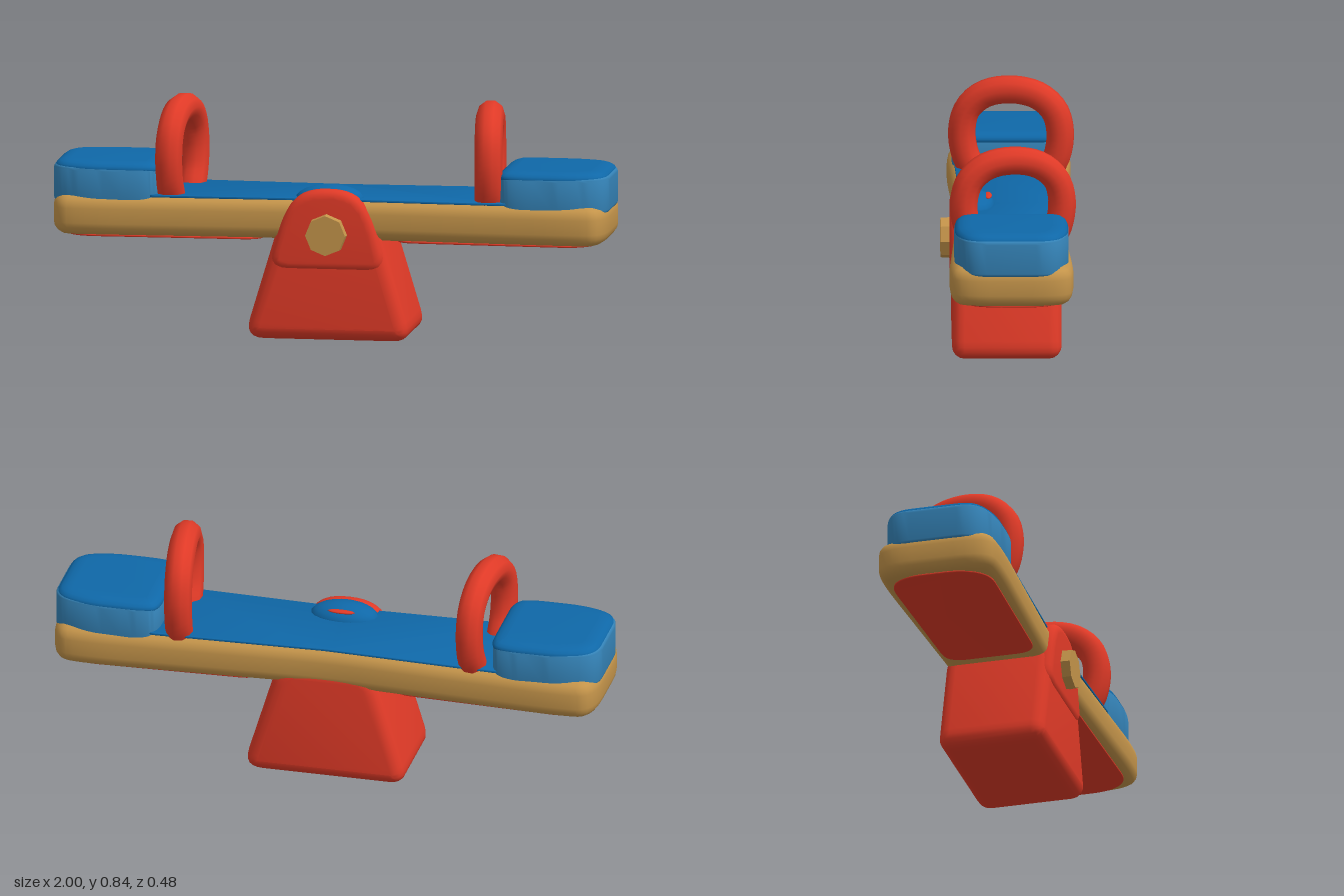
import * as THREE from 'three';
import { toCreasedNormals } from 'three/addons/utils/BufferGeometryUtils.js';

const material = (name, color) => {
  const m = new THREE.MeshStandardMaterial({ color });
  m.name = name;
  return m;
};

// Closed polygon with rounded corners
function roundedShape(points, radius) {
  const p = points.map(([x, y]) => new THREE.Vector2(x, y));
  const shape = new THREE.Shape();
  p.forEach((c, i) => {
    const toward = (q) => {
      const d = q.clone().sub(c);
      return c.clone().addScaledVector(d, Math.min(radius / d.length(), 0.48));
    };
    const a = toward(p[(i + p.length - 1) % p.length]);
    const b = toward(p[(i + 1) % p.length]);
    if (i === 0) shape.moveTo(a.x, a.y);
    else shape.lineTo(a.x, a.y);
    shape.quadraticCurveTo(c.x, c.y, b.x, b.y);
  });
  shape.closePath();
  return shape;
}

// Extrusion from z = lo to z = hi with softened edges inside the outline
function softExtrude(points, radius, lo, hi, bevel, thickness = bevel) {
  const geo = new THREE.ExtrudeGeometry(roundedShape(points, radius), {
    depth: hi - lo - 2 * thickness,
    curveSegments: 6,
    bevelEnabled: bevel > 0,
    bevelSize: bevel,
    bevelOffset: -bevel,
    bevelThickness: thickness,
    bevelSegments: 4,
  });
  geo.translate(0, 0, lo + thickness);
  return toCreasedNormals(geo, 0.7);
}

// Horizontal slab: outline in x and z, spanning heights y0 to y1
function slab(points, radius, y0, y1, bevel, thickness) {
  return softExtrude(points, radius, -y1, -y0, bevel, thickness).rotateX(Math.PI / 2);
}

export function createModel() {
  const red = material('red', 0xe03a27);
  const wood = material('wood', 0xc4944a);
  const blue = material('deep blue', 0x0f68a8);
  const lightBlue = material('light blue', 0x3482b6);

  const model = new THREE.Group();
  model.name = 'seesaw';
  const add = (name, geometry, mat, parent = model) => {
    const mesh = new THREE.Mesh(geometry, mat);
    mesh.name = name;
    parent.add(mesh);
    return mesh;
  };

  // Wedge base, with a taller rounded tongue at the front
  add('base', softExtrude(
    [[-0.305, 0], [0.305, 0], [0.175, 0.43], [-0.175, 0.43]], 0.075, -0.19, 0.2, 0.045), red);
  add('baseTongue', softExtrude(
    [[-0.22, 0.25], [0.22, 0.25], [0.155, 0.47], [0.08, 0.545], [-0.08, 0.545], [-0.155, 0.47]],
    0.08, 0.13, 0.207, 0.03), red);

  // Pivot bolt
  const bolt = new THREE.CylinderGeometry(0.072, 0.077, 0.07, 8).rotateX(Math.PI / 2);
  const boltMesh = add('pivotBolt', toCreasedNormals(bolt, 0.4), wood);
  boltMesh.position.set(0, 0.386, 0.205);

  // Plank, slightly waisted in the middle
  add('plank', slab([
    [-1, 0.2], [-0.87, 0.215], [0, 0.18], [0.87, 0.215], [1, 0.2],
    [1, -0.215], [0.87, -0.232], [0, -0.187], [-0.87, -0.232], [-1, -0.215],
  ], 0.13, 0.36, 0.503, 0.045), wood);
  add('plankTop', slab([
    [-0.65, 0.187], [0, 0.168], [0.65, 0.187],
    [0.65, -0.2], [0, -0.175], [-0.65, -0.2],
  ], 0.03, 0.501, 0.51, 0.003), blue);

  // Blue swelling behind the tongue, with its red spot
  const hump = add('pivotHump', new THREE.SphereGeometry(1, 20, 12), blue);
  hump.scale.set(0.125, 0.055, 0.075);
  hump.position.set(0, 0.5, 0.12);
  const spot = add('humpSpot', new THREE.SphereGeometry(1, 12, 8), red);
  spot.scale.set(0.05, 0.006, 0.014);
  spot.position.set(0, 0.54, 0.07);

  for (const s of [1, -1]) {
    const end = new THREE.Group();
    end.name = s > 0 ? 'leftEnd' : 'rightEnd';
    model.add(end);

    // Seat: lighter sides with a deep blue pad on top
    const seat = [
      [0.61, 0.165], [0.67, 0.195], [0.88, 0.195], [1, 0.15],
      [1, -0.165], [0.88, -0.212], [0.67, -0.212], [0.61, -0.185],
    ].map(([x, z]) => [x * s, z]);
    add('seatSide', slab(seat, 0.07, 0.47, 0.606, 0.015), lightBlue, end);
    add('seatPad', slab(seat.map(([x, z]) => [x * 0.995, z * 0.99]), 0.07, 0.572, 0.624, 0.055, 0.025), blue, end);

    // Panel under the plank
    add('underPanel', slab(
      [[0.24, 0.165], [0.9, 0.18], [0.965, 0.1], [0.965, -0.12], [0.9, -0.19], [0.24, -0.165]]
        .map(([x, z]) => [x * s, z]), 0.07, 0.355, 0.363, 0.003), red, end);

    // Arched handle, slightly turned
    const arch = new THREE.CatmullRomCurve3([
      [0.13, -0.16], [0.165, -0.09], [0.176, 0], [0.155, 0.075], [0.095, 0.128], [0, 0.147],
      [-0.095, 0.128], [-0.155, 0.075], [-0.176, 0], [-0.165, -0.09], [-0.13, -0.16],
    ].map(([z, y]) => new THREE.Vector3(0, y, z)));
    const handle = add('handle', new THREE.TubeGeometry(arch, 36, 0.05, 10), red, end);
    handle.position.set(0.555 * s, 0.65, -0.015);
    handle.rotation.y = 0.12 * s;
  }
  return model;
}
